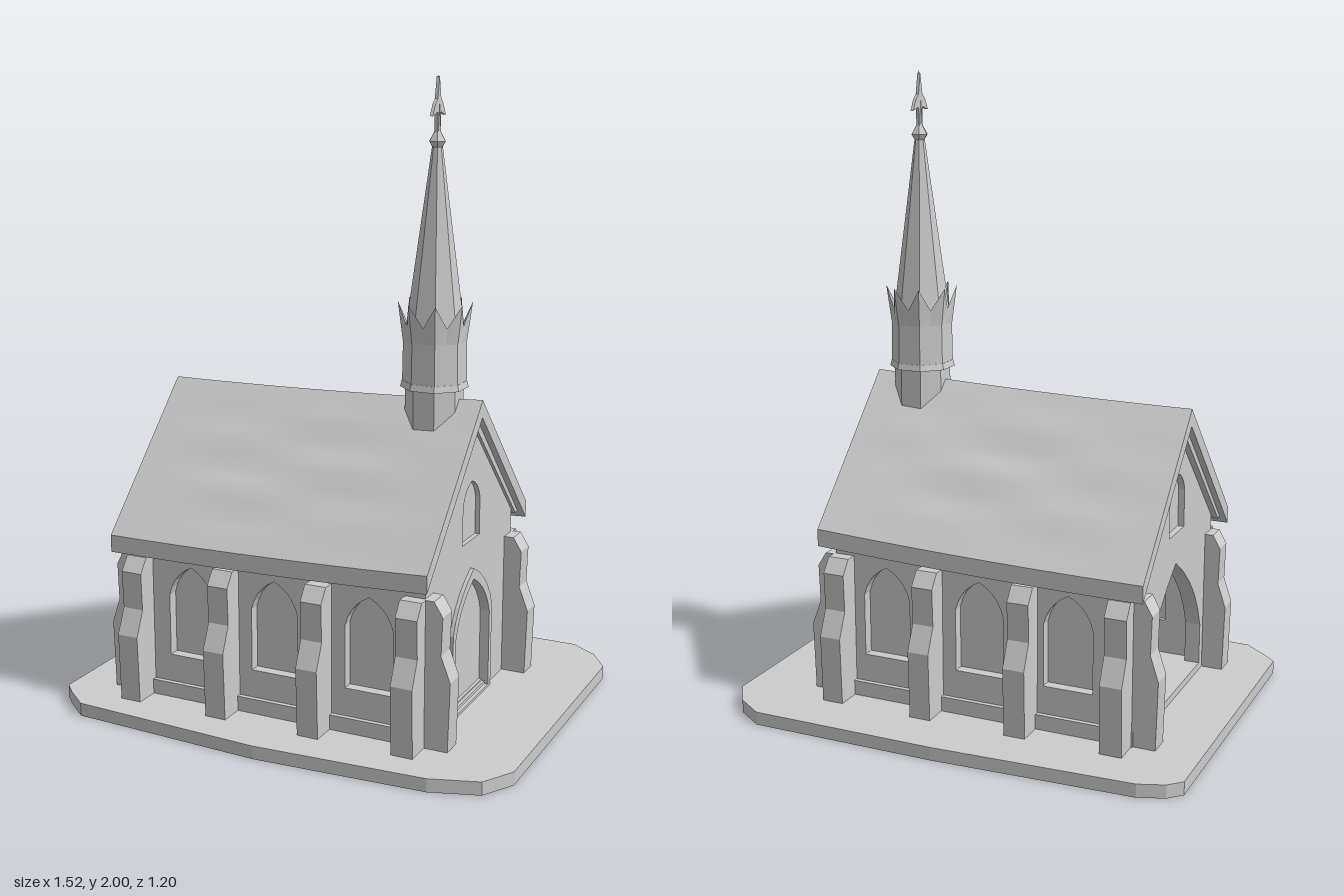
import * as THREE from 'three';

const CZ = 0.02;                 // z of the ridge line
const HALF = 0.36;               // half depth of the nave
const X0 = -0.55, X1 = 0.46;     // outer faces of the end walls
const T = 0.05;                  // wall thickness

// Pointed arch outline, used for windows and doors
function arch(cx, y0, spring, top, hw, Type = THREE.Path) {
  const p = new Type();
  p.moveTo(cx - hw, y0);
  p.lineTo(cx + hw, y0);
  p.lineTo(cx + hw, spring);
  p.quadraticCurveTo(cx + hw * 0.8, (spring + top) / 2 + 0.02, cx, top);
  p.quadraticCurveTo(cx - hw * 0.8, (spring + top) / 2 + 0.02, cx - hw, spring);
  p.closePath();
  return p;
}

function polygon(points) {
  return new THREE.Shape(points.map(([x, y]) => new THREE.Vector2(x, y)));
}

function extrude(shape, depth) {
  return new THREE.ExtrudeGeometry(shape, { depth, bevelEnabled: false, curveSegments: 5 });
}

export function createModel() {
  const stone = new THREE.MeshStandardMaterial({ color: 0xcccccc, side: THREE.DoubleSide });
  stone.name = 'pale grey';
  const model = new THREE.Group();
  model.name = 'chapel';

  function add(name, geometry, x = 0, y = 0, z = 0, parent = model) {
    const mesh = new THREE.Mesh(geometry, stone);
    mesh.name = name;
    mesh.position.set(x, y, z);
    parent.add(mesh);
    return mesh;
  }
  const flat = (g) => { const n = g.toNonIndexed(); n.computeVertexNormals(); return n; };

  // Ground slab with cut corners
  const slab = polygon([[-0.76, -0.5], [-0.72, -0.54], [-0.64, -0.57], [0, -0.6], [0.61, -0.6],
    [0.7, -0.54], [0.76, -0.45], [0.76, 0.42], [0.7, 0.52], [0.55, 0.57], [0, 0.6],
    [-0.64, 0.565], [-0.72, 0.5], [-0.76, 0.46]]);
  const slabGeo = extrude(slab, 0.042);
  slabGeo.rotateX(Math.PI / 2);
  add('groundSlab', slabGeo, 0, 0.042, 0);

  // Nave floor and low plinth
  add('floor', new THREE.BoxGeometry(X1 - X0 - 0.02, 0.03, 2 * HALF - 0.02), (X0 + X1) / 2, 0.05, CZ);
  for (const s of [-1, 1]) {
    add('plinth', new THREE.BoxGeometry(X1 - X0, 0.05, 0.05), (X0 + X1) / 2, 0.065, CZ + s * (HALF - 0.01));
  }

  // Long walls with recessed pointed windows
  for (const s of [-1, 1]) {
    const wall = polygon([[X0 + T, 0.04], [X1 - T, 0.04], [X1 - T, 0.58], [X0 + T, 0.58]]);
    const face = CZ + s * HALF;
    for (const cx of [-0.335, -0.04, 0.28]) {
      wall.holes.push(arch(cx, 0.18, 0.38, 0.48, 0.08));
      const pane = new THREE.ShapeGeometry(arch(cx, 0.17, 0.385, 0.49, 0.085, THREE.Shape), 5);
      if (s < 0) {
        pane.translate(-cx, 0, 0).rotateY(Math.PI).translate(cx, 0, 0);
      }
      add('windowPane', pane, 0, 0, face - s * 0.035);
    }
    add('sideWall', extrude(wall, T), 0, 0, s > 0 ? face - T : face);
  }

  // Gable walls: shapes are drawn as (z, y) and turned to face along x
  const gable = () => polygon([[-HALF, 0.04], [HALF, 0.04], [HALF, 0.58], [0, 0.955], [-HALF, 0.58]]);
  const endOn = (shape, depth) => extrude(shape, depth).rotateY(-Math.PI / 2);
  const front = gable();
  front.holes.push(arch(0, 0.06, 0.3, 0.46, 0.145), arch(0, 0.58, 0.7, 0.77, 0.07));
  add('doorGable', endOn(front, T), X1, 0, CZ);
  add('door', endOn(arch(0, 0.05, 0.31, 0.47, 0.15, THREE.Shape), 0.01), X1 - 0.02, 0, CZ);
  add('gableWindow', endOn(arch(0, 0.57, 0.71, 0.78, 0.075, THREE.Shape), 0.01), X1 - 0.015, 0, CZ);

  const doorFrame = arch(0, 0.04, 0.32, 0.49, 0.165, THREE.Shape);
  doorFrame.holes.push(arch(0, 0.05, 0.3, 0.455, 0.143));
  add('doorFrame', endOn(doorFrame, 0.03), X1 + 0.012, 0, CZ);

  const back = gable();
  back.holes.push(arch(0, 0.065, 0.2, 0.5, 0.27), arch(0, 0.6, 0.72, 0.79, 0.07));
  add('openGable', endOn(back, T), X0 + T, 0, CZ);
  add('gableWindow', endOn(arch(0, 0.59, 0.73, 0.8, 0.075, THREE.Shape), 0.01), X0 + 0.03, 0, CZ);

  // Stepped buttresses
  function buttress(x, z, angle, reach) {
    const profile = polygon([[-0.02, 0.04], [0.1, 0.04], [0.108, 0.26], [0.07, 0.34],
      [0.075, 0.46], [0.04, 0.505], [-0.02, 0.505]]);
    const g = extrude(profile, 0.07);
    g.translate(0, 0, -0.035).scale(reach, 1, 1).rotateY(angle);
    add('buttress', g, x, 0, z);
  }
  for (const s of [-1, 1]) {
    for (const x of [-0.51, -0.2, 0.12, 0.43]) buttress(x, CZ + s * HALF, -s * Math.PI / 2, 0.95);
    buttress(X1, CZ + s * 0.335, 0, 0.8);
    buttress(X0, CZ + s * 0.335, Math.PI, 0.7);
  }

  // Roof slopes with a gently uneven top, rising a little at the steeple end
  const RX0 = -0.59, RX1 = 0.49, DROP = 0.43, RUN = 0.42, THICK = 0.055;
  for (const s of [-1, 1]) {
    const g = new THREE.BoxGeometry(1, 1, 1, 28, 1, 14);
    const p = g.attributes.position;
    for (let i = 0; i < p.count; i++) {
      const u = p.getX(i) + 0.5;
      const v = 0.5 + s * p.getZ(i);
      const top = p.getY(i) > 0;
      const inner = Math.sin(Math.PI * u) * Math.sin(Math.PI * v);
      const ripple = top ? 0.006 * inner * (Math.sin(9 * u + 17 * v) + Math.sin(23 * v - 6 * u + s)) : 0;
      const y = 1.0 - DROP * v + 0.028 * u * u + ripple - (top ? 0 : THICK);
      p.setXYZ(i, RX0 + (RX1 - RX0) * u, y, CZ + s * RUN * v);
    }
    g.computeVertexNormals();
    add('roofSlope', g);

    // Verge trim under the roof ends
    for (const [x, lift] of [[RX0 + 0.03, 0], [RX1 - 0.03, 0.026]]) {
      const trim = polygon([[0, 0.95], [s * 0.40, 0.545], [s * 0.375, 0.54], [0, 0.915]]);
      add('vergeTrim', endOn(trim, 0.02), x + 0.01, lift, CZ);
    }
  }

  // Octagonal steeple
  const steeple = new THREE.Group();
  steeple.name = 'steeple';
  steeple.position.set(0.33, 0, CZ);
  model.add(steeple);
  const turn = Math.PI / 8;
  const drum = (name, rTop, rBottom, y0, y1, sides = 8) => {
    const g = flat(new THREE.CylinderGeometry(rTop, rBottom, y1 - y0, sides));
    add(name, g, 0, (y0 + y1) / 2, 0, steeple).rotation.y = turn;
  };
  drum('towerBase', 0.09, 0.09, 0.84, 1.06);
  drum('towerLedge', 0.1, 0.105, 1.055, 1.075);
  drum('belfry', 0.097, 0.099, 1.07, 1.21);
  drum('spire', 0.014, 0.093, 1.21, 1.8);
  drum('knobLower', 0.028, 0.012, 1.775, 1.8, 6);
  drum('knobUpper', 0.01, 0.028, 1.8, 1.83, 6);

  // Crown of pointed gablets around the spire foot
  const pos = [], N = 16;
  const ring = (i, low) => {
    const a = turn + (i / N) * Math.PI * 2, peak = i % 2 === 0;
    const r = low ? (peak ? 0.098 : 0.091) : (peak ? 0.114 : 0.093);
    return [r * Math.sin(a), low ? 1.2 : (peak ? 1.32 : 1.25), r * Math.cos(a)];
  };
  for (let i = 0; i < N; i++) {
    const a = ring(i, true), b = ring(i + 1, true), c = ring(i + 1, false), d = ring(i, false);
    pos.push(...a, ...b, ...c, ...a, ...c, ...d);
  }
  const crown = new THREE.BufferGeometry();
  crown.setAttribute('position', new THREE.Float32BufferAttribute(pos, 3));
  crown.computeVertexNormals();
  add('crown', crown, 0, 0, 0, steeple);

  // Finial: slim spike with a barbed cross-piece
  add('spike', flat(new THREE.ConeGeometry(0.012, 0.2, 4)), 0, 1.9, 0, steeple);
  const half = [[0.01, 1.81], [0.013, 1.885], [0.05, 1.875], [0.03, 1.91], [0.013, 1.925]];
  const barb = polygon([...half, [0, 1.99], ...half.map(([z, y]) => [-z, y]).reverse()]);
  add('crossPiece', endOn(barb, 0.01), 0.005, 0, 0, steeple);

  return model;
}
